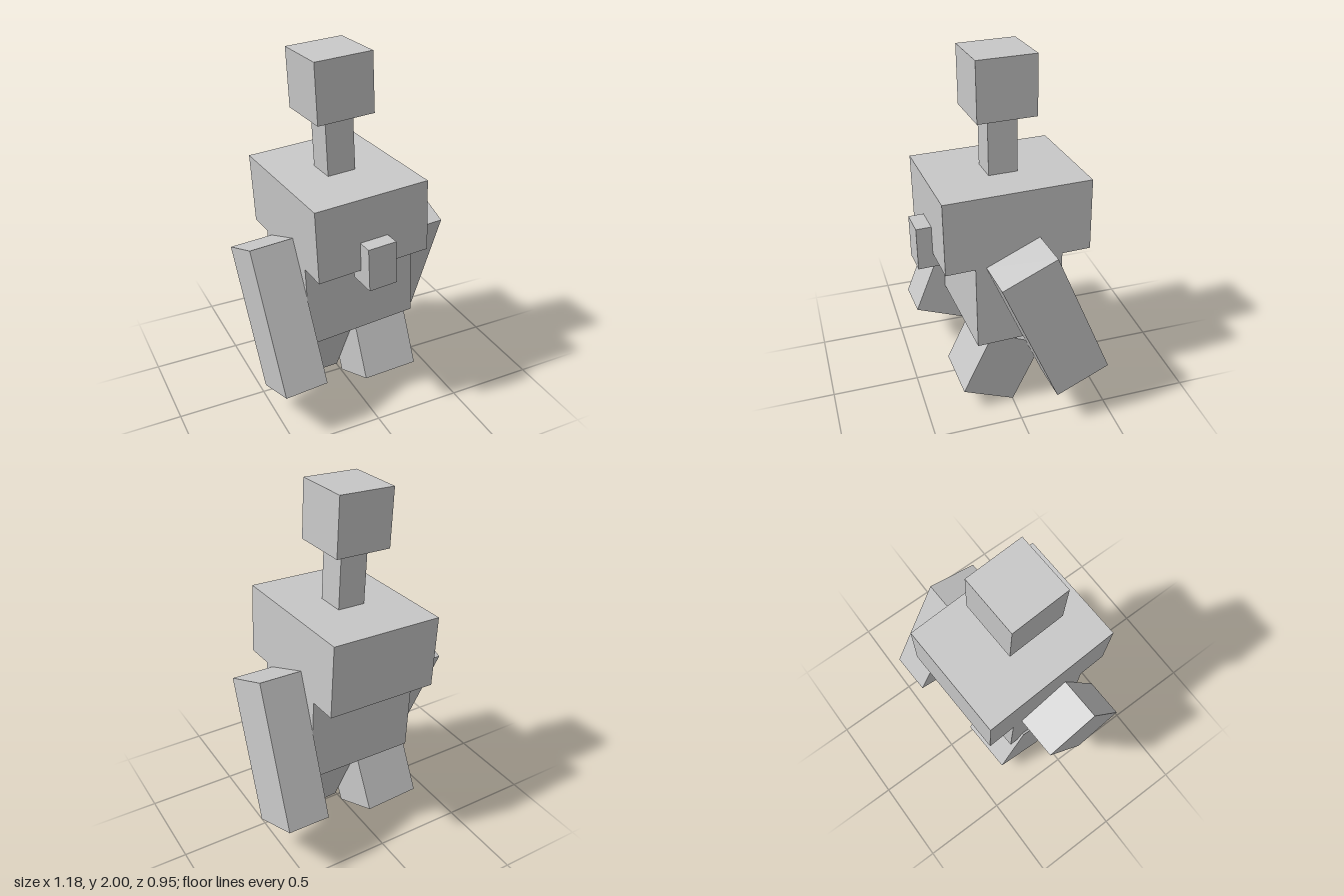
import * as THREE from 'three';

const U = 0.0407; // modelling unit
const deg = THREE.MathUtils.degToRad;

export function createModel() {
  const model = new THREE.Group();
  model.name = 'blockFigure';
  const stone = new THREE.MeshStandardMaterial({ color: 0xc8c8c8 });
  stone.name = 'paleGrey';

  // box sized in units, placed by its centre, pitched about x
  function block(parent, name, [w, h, d], [x, y, z], pitch = 0) {
    const mesh = new THREE.Mesh(new THREE.BoxGeometry(w * U, h * U, d * U), stone);
    mesh.name = name;
    mesh.position.set(x, y, z);
    mesh.rotation.x = deg(pitch);
    parent.add(mesh);
  }

  // upper body sways slightly to its right and turns to its left
  const upper = new THREE.Group();
  upper.name = 'upperBody';
  upper.rotation.set(0, deg(2.5), deg(2.8), 'YXZ');
  upper.position.set(0.042, 0, -0.02);
  model.add(upper);

  const waist = 23 * U;
  block(upper, 'torso', [16, 12, 12], [0, waist - 6 * U, 0]);
  block(upper, 'chest', [16, 10, 20], [0, waist + 5 * U, 0]);
  block(upper, 'neck', [4, 8, 4], [0, waist + 14 * U, 0]);
  block(upper, 'head', [8, 8, 8], [0, waist + 22 * U, 0]);
  block(upper, 'chestBlock', [4, 6, 4], [0, waist + U, 10 * U + 0.003]);

  // legs turn with the body but stay level
  const lower = new THREE.Group();
  lower.name = 'lowerBody';
  lower.rotation.y = deg(2.5);
  lower.position.set(0.005, 0, -0.02);
  model.add(lower);

  // arms and legs swing in opposite directions on each side
  for (const [side, s] of [['left', 1], ['right', -1]]) {
    block(upper, side + 'Arm', [6, 20, 8], [s * 11 * U, 0.624, -s * 0.122], s * 22.7);
    block(lower, side + 'Leg', [8, 10, 8], [s * 4 * U, 0.254, s * 0.094], -s * 25);
  }
  return model;
}
